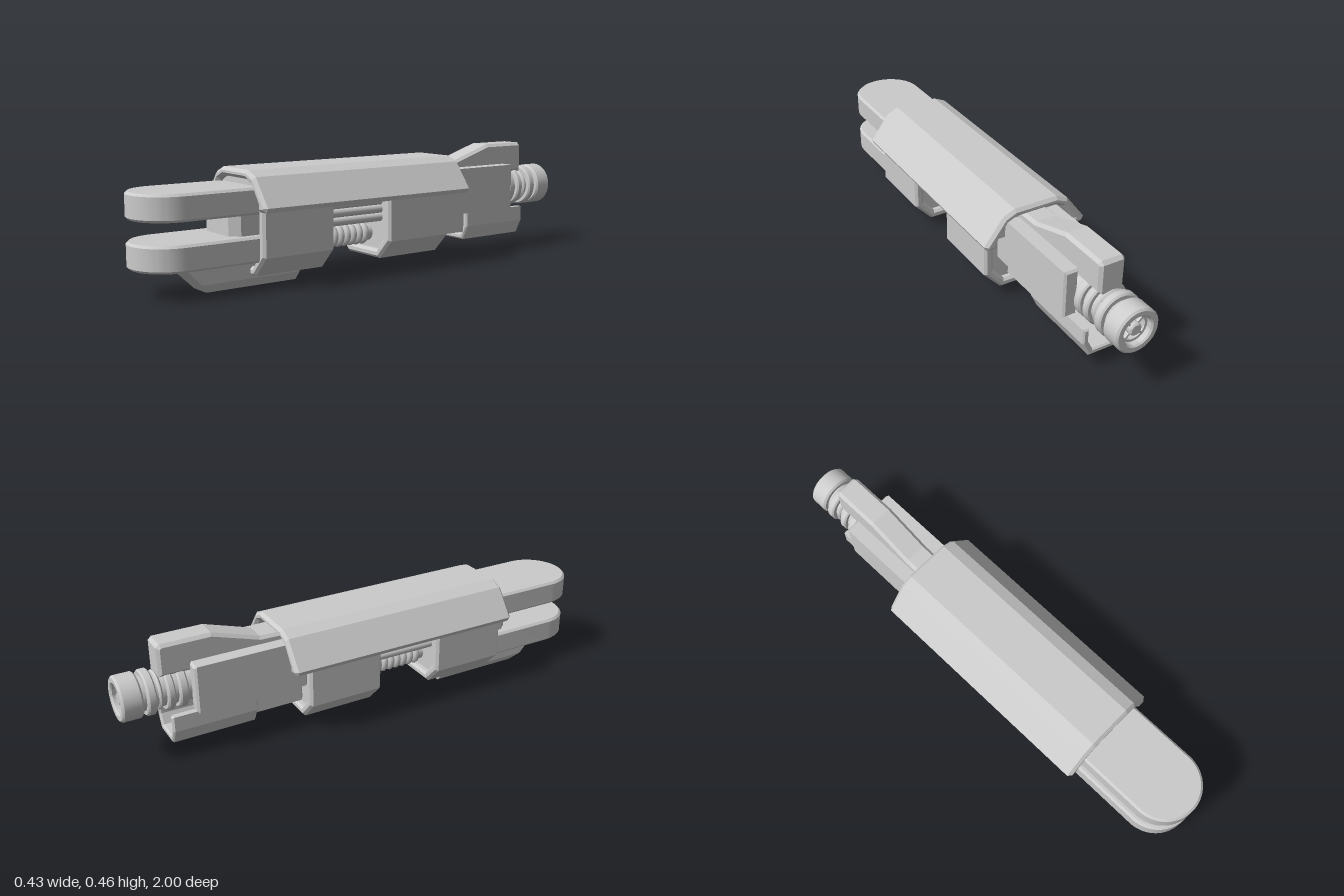
import * as THREE from 'three';
import { toCreasedNormals } from 'three/addons/utils/BufferGeometryUtils.js';
import { ConvexGeometry } from 'three/addons/geometries/ConvexGeometry.js';

const material = new THREE.MeshStandardMaterial({ color: 0xcccccc });

const toShape = pts => new THREE.Shape(pts.map(p => new THREE.Vector2(...p)));

// Closed outline from its +x half, listed from one end of the axis to the other
const mirrored = half => [...half, ...half.slice().reverse().map(([x, y]) => [-x, y])];

// Chamfered extrusion that keeps the outline and the full depth
function extrude(shape, depth, bevel) {
  return new THREE.ExtrudeGeometry(shape, {
    depth: depth - 2 * bevel, bevelEnabled: true, bevelSegments: 1, steps: 1,
    bevelThickness: bevel, bevelSize: bevel, bevelOffset: -bevel, curveSegments: 24,
  }).translate(0, 0, bevel);
}

// Outline in x, y running from z0 to z1
const prism = (pts, z0, z1, bevel = 0.01) => extrude(toShape(pts), z1 - z0, bevel).translate(0, 0, z0);

const block = (x0, x1, y0, y1, z0, z1, bevel = 0.008) =>
  prism([[x0, y0], [x1, y0], [x1, y1], [x0, y1]], z0, z1, bevel);

// Turned profile of [radius, distance towards the back]
function turned(pts, y, z, segments = 40) {
  const g = new THREE.LatheGeometry(pts.map(p => new THREE.Vector2(...p)), segments);
  return toCreasedNormals(g.rotateX(-Math.PI / 2), 0.5).translate(0, y, z);
}

export function createModel() {
  const model = new THREE.Group();
  const add = (name, geometry) => {
    const mesh = new THREE.Mesh(geometry, material);
    mesh.name = name;
    model.add(mesh);
    return mesh;
  };

  // Faceted top cover, a bent shell with flared edges
  add('topCover', prism(mirrored([
    [0.09, 0.433], [0.138, 0.412], [0.217, 0.308], [0.207, 0.29],
    [0.165, 0.29], [0.165, 0.315], [0.118, 0.383], [0.08, 0.4],
  ]), -0.39, 0.59, 0.012));
  add('coverFiller', prism(mirrored([
    [0.08, 0.405], [0.12, 0.388], [0.17, 0.318], [0.17, 0.3],
  ]), -0.35, 0.565, 0.005));

  // Two body housings: U shells with a recessed plug
  for (const [name, z0, z1] of [['frontHousing', 0.26, 0.57], ['rearHousing', -0.31, 0]]) {
    add(name, prism(mirrored([
      [0.1, 0.046], [0.172, 0.122], [0.172, 0.33],
      [0.135, 0.33], [0.135, 0.135], [0.086, 0.08],
    ]), z0, z1));
    add(name + 'Plug', prism(mirrored([
      [0.08, 0.07], [0.145, 0.13], [0.145, 0.32],
    ]), z0 + 0.025, z1 - 0.025, 0.004));
  }

  // Core, guide rods and spring showing between the housings
  add('core', block(-0.075, 0.075, 0.19, 0.31, -0.05, 0.3));
  for (const side of [-1, 1]) {
    for (const y of [0.208, 0.241, 0.274]) {
      const rod = new THREE.CylinderGeometry(0.017, 0.017, 0.34, 16).rotateX(Math.PI / 2);
      add('guideRod', rod.translate(side * 0.08, y, 0.13));
    }
  }
  add('springRod', new THREE.CylinderGeometry(0.033, 0.033, 0.36, 24)
    .rotateX(Math.PI / 2).translate(0, 0.138, 0.13));
  for (let i = 0; i < 9; i++) {
    add('springCoil', new THREE.TorusGeometry(0.032, 0.014, 8, 28).translate(0, 0.138, 0.01 + i * 0.03));
  }

  // Round-ended jaws
  for (const [name, y0, y1] of [['lowerJaw', 0.103, 0.2], ['upperJaw', 0.278, 0.376]]) {
    const s = new THREE.Shape();
    s.moveTo(-0.143, 0.53);
    s.lineTo(0.143, 0.53);
    s.lineTo(0.143, 0.857);
    s.absarc(0, 0.857, 0.143, 0, Math.PI);
    s.closePath();
    const g = extrude(s, y1 - y0, 0.009).rotateX(Math.PI / 2).translate(0, y1, 0);
    add(name, toCreasedNormals(g, 0.4));
  }

  // Chamfered block between the jaws
  const web = toShape(mirrored([[0.11, 0.5], [0.11, 0.625], [0.08, 0.66]]));
  add('jawWeb', extrude(web, 0.12, 0.004).rotateX(Math.PI / 2).translate(0, 0.3, 0));

  // Keel under the front, with a sloping nose
  const keel = [];
  for (const [x, y, zFront] of [[0.075, 0.11, 0.84], [0.075, 0.035, 0.765], [0.045, 0, 0.735]]) {
    for (const side of [-1, 1]) {
      keel.push(new THREE.Vector3(side * x, y, zFront), new THREE.Vector3(side * x, y, 0.355));
    }
  }
  add('keel', new ConvexGeometry(keel));

  // Rear frame: cheeks, middle block and lower rail
  for (const side of [-1, 1]) {
    const x = side * 0.083;
    add('rearCheek', block(x - 0.028, x + 0.028, 0.185, 0.375, -0.735, -0.29));
  }
  add('rearMiddle', block(-0.06, 0.06, 0.2, 0.345, -0.7, -0.29));
  add('lowerRail', block(-0.065, 0.065, 0.098, 0.195, -0.6, -0.29));

  // Open channel under the rear
  add('rearChannel', prism(mirrored([
    [0.058, 0.064], [0.086, 0.122], [0.086, 0.183],
    [0.062, 0.183], [0.062, 0.126], [0.043, 0.088],
  ]), -0.825, -0.49, 0.006));

  // Cranked lever on top of the rear
  const lever = toShape([
    [-0.33, 0.36], [-0.33, 0.4], [-0.45, 0.403], [-0.64, 0.463],
    [-0.835, 0.463], [-0.848, 0.45], [-0.848, 0.335], [-0.64, 0.335],
  ]);
  add('lever', extrude(lever, 0.104, 0.012).rotateY(-Math.PI / 2).translate(0.052, 0, 0));

  // Ringed nozzle with a hollow end and inner hub
  const nozzle = [[0, 0], [0.066, 0]];
  for (const [a, b, r] of [[0.05, 0.085, 0.085], [0.1, 0.13, 0.085], [0.145, 0.16, 0.075], [0.17, 0.205, 0.087]]) {
    nozzle.push([0.066, a], [r - 0.006, a], [r, a + 0.006], [r, b - 0.006], [r - 0.006, b], [0.066, b]);
  }
  nozzle.push(
    [0.066, 0.22], [0.08, 0.22], [0.087, 0.228], [0.087, 0.293], [0.08, 0.3],
    [0.062, 0.3], [0.056, 0.294], [0.056, 0.275], [0.046, 0.275], [0.046, 0.25], [0, 0.25],
  );
  add('nozzle', turned(nozzle, 0.268, -0.7));
  add('nozzleHub', turned([[0.024, 0], [0.024, 0.04], [0.019, 0.045], [0, 0.045]], 0.268, -0.945, 20));
  for (let i = 0; i < 4; i++) {
    const fin = new THREE.BoxGeometry(0.03, 0.008, 0.03).translate(0.032, 0, 0);
    add('nozzleFin', fin.rotateZ(i * Math.PI / 2 + Math.PI / 4).translate(0, 0.268, -0.962));
  }

  return model;
}
